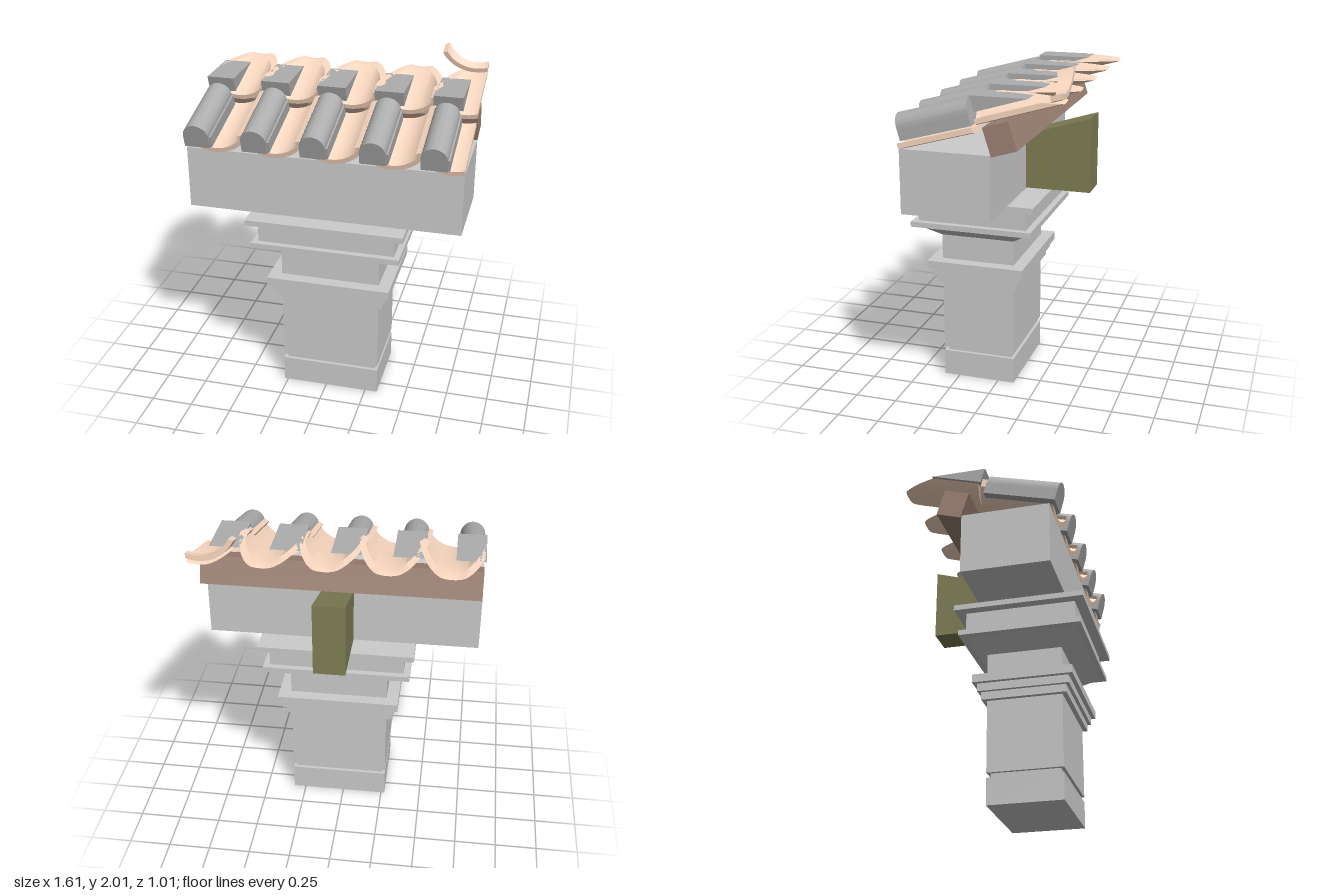
import * as THREE from 'three';
import { toCreasedNormals } from 'three/addons/utils/BufferGeometryUtils.js';

const mat = (color) => new THREE.MeshStandardMaterial({ color });

export function createModel() {
  const model = new THREE.Group();
  const stone = mat(0xcccccc), coverGrey = mat(0xaeaeae);
  const clay = mat(0xffddc5), wood = mat(0xa08477), olive = mat(0x808056);
  const TOP = 1.86, BACK = -0.505, SIDE = 0.8;

  const add = (parent, name, geometry, material) => {
    const mesh = new THREE.Mesh(geometry, material);
    mesh.name = name;
    parent.add(mesh);
    return mesh;
  };

  // Pillar course: the shaft's footprint widened by g0 at the bottom, g1 at the top
  const pillar = new THREE.Group();
  pillar.name = 'pillar';
  model.add(pillar);
  const course = (name, y0, y1, g0, g1 = g0) => {
    const geo = new THREE.BoxGeometry(1, 1, 1);
    const p = geo.attributes.position;
    for (let i = 0; i < p.count; i++) {
      const up = p.getY(i) > 0, g = up ? g1 : g0;
      p.setXYZ(i,
        0.027 + Math.sign(p.getX(i)) * (0.298 + g),
        up ? y1 : y0,
        0.122 + Math.sign(p.getZ(i)) * (0.223 + g));
    }
    geo.computeVertexNormals();
    add(pillar, name, geo, stone);
  };
  course('plinth', 0, 0.16, 0);
  course('plinthGroove', 0.16, 0.19, -0.02);
  course('shaft', 0.19, 0.625, 0);
  course('lowerMoulding', 0.625, 0.672, 0.028);
  course('middleMoulding', 0.672, 0.72, 0.048);
  course('upperMoulding', 0.72, 0.77, 0.073);
  course('neck', 0.77, 0.92, 0);
  course('flare', 0.92, 1.0, 0, 0.107);
  course('capitalLip', 1.0, 1.032, 0.142);
  course('capital', 1.032, 1.155, 0.105);
  course('abacus', 1.155, 1.188, 0.165);

  // Lintel beam resting on the pillar
  add(model, 'beam', new THREE.BoxGeometry(1.605, 0.37, 0.515), stone)
    .position.set(-0.0025, 1.375, 0.1425);

  // Prism from a side outline of [z, y] corners, between x0 and x1
  const prism = (points, x0, x1) => {
    const shape = new THREE.Shape(points.map(([z, y]) => new THREE.Vector2(z, y)));
    return new THREE.ExtrudeGeometry(shape, { depth: x1 - x0, bevelEnabled: false })
      .rotateY(-Math.PI / 2).translate(x1, 0, 0);
  };

  // Rafter stub behind the beam and the tilted batten under the upper tiles
  add(model, 'rafter',
    prism([[BACK, 1.195], [-0.115, 1.195], [-0.115, 1.52], [BACK, 1.64]], -0.065, 0.12), olive);
  const batten = add(model, 'batten', new THREE.BoxGeometry(1.6, 0.165, 0.15), wood);
  batten.position.set(0, 1.653, -0.171);
  batten.rotation.x = 0.3;

  // Trough tile: an arc swept up the slope, trimmed at the sides, the back and the top
  const trough = (cx, y0, z0, tilt, length, top) => {
    const R = 0.22, T = 0.028, HALF = 1.117, N = 36;
    const s = Math.sin(tilt), c = Math.cos(tilt);
    const limit = (r, edge) => Math.asin(THREE.MathUtils.clamp((edge - cx) / r, -0.999, 0.999));
    const line = (r, t) => {
      const a0 = Math.max(-HALF, limit(r, -SIDE)), a1 = Math.min(HALF, limit(r, SIDE));
      const a = a0 + (a1 - a0) * t;
      const h = R - r * Math.cos(a), x = cx + r * Math.sin(a);
      const y = Math.min(y0 + h * c, top), z = z0 + h * s;
      const len = Math.max(0, Math.min(length, (top - y) / s, (z - BACK) / c));
      return [[x, y, z], [x, y + len * s, z - len * c]];
    };
    const pos = [];
    const quad = (p, q, r, w) => pos.push(...p, ...q, ...r, ...p, ...r, ...w);
    const rings = [];
    for (let i = 0; i <= N; i++) {
      const [of, ob] = line(R, i / N), [inf, inb] = line(R - T, i / N);
      rings.push([of, ob, inb, inf]);
    }
    for (let i = 0; i < N; i++) {
      for (let j = 0; j < 4; j++) {
        const k = (j + 1) % 4;
        quad(rings[i][j], rings[i][k], rings[i + 1][k], rings[i + 1][j]);
      }
    }
    const [a, b, d, e] = rings[0];
    quad(a, e, d, b);
    quad(...rings[N]);
    const geo = new THREE.BufferGeometry();
    geo.setAttribute('position', new THREE.Float32BufferAttribute(pos, 3));
    return toCreasedNormals(geo, 0.5);
  };

  // Arched cover tile, solid, running back from its front end
  const arch = new THREE.Shape();
  arch.moveTo(-0.075, 0);
  arch.lineTo(0.075, 0);
  arch.lineTo(0.075, 0.073);
  arch.absarc(0, 0.073, 0.075, 0, Math.PI, false);
  arch.closePath();
  const archGeo = toCreasedNormals(
    new THREE.ExtrudeGeometry(arch, { depth: 0.43, bevelEnabled: false, curveSegments: 16 })
      .translate(0, 0, -0.43), 0.5);

  const roof = new THREE.Group();
  roof.name = 'roofTiles';
  model.add(roof);
  for (let i = 0; i < 5; i++) {
    const panX = -0.63 + 0.34 * i, coverX = -0.728 + 0.341 * i;
    const edge = Math.max(coverX - 0.085, -0.805);
    add(roof, 'lowerTrough', trough(panX, 1.549, 0.4, 0.27, 0.443, 9), clay);
    add(roof, 'upperTrough', trough(panX, 1.713, -0.04, 0.288, 1, TOP), clay);

    // Lower cover with its slightly wider foot
    const cover = new THREE.Group();
    cover.name = 'lowerCover';
    cover.position.set(coverX, 1.58, 0.43);
    cover.rotation.x = 0.268;
    roof.add(cover);
    add(cover, 'coverArch', archGeo, coverGrey);
    add(cover, 'coverFoot', new THREE.BoxGeometry(0.162, 0.07, 0.42), coverGrey)
      .position.set(0.004, 0.035, -0.222);

    // Upper cover, trimmed level to a wedge
    add(roof, 'upperCover',
      prism([[0.022, TOP], [-0.302, TOP], [-0.005, 1.772]], edge, coverX + 0.086), coverGrey);
  }
  // Start of the third row at the left end
  add(roof, 'ridgeTrough', trough(0.73, 1.857, -0.45, 0.288, 1, 9), clay);

  return model;
}
